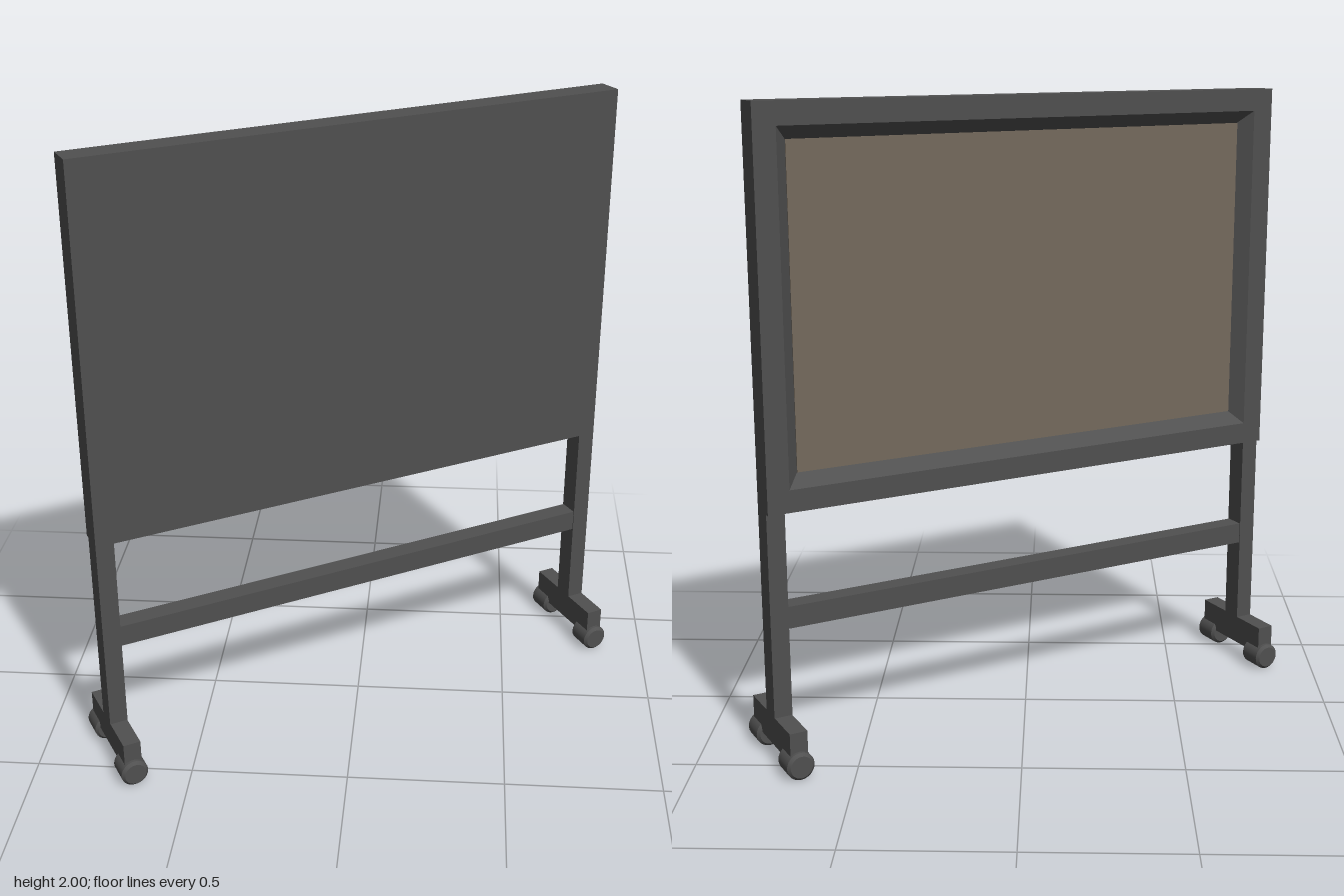
import * as THREE from 'three';

const frameMat = new THREE.MeshStandardMaterial({ color: 0x505050 });
const panelMat = new THREE.MeshStandardMaterial({ color: 0x74695c });

function add(parent, name, geometry, material, x, y, z) {
  const mesh = new THREE.Mesh(geometry, material);
  mesh.name = name;
  mesh.position.set(x, y, z);
  parent.add(mesh);
  return mesh;
}

// Box given by its lower and upper corners
function box(parent, name, [x0, y0, z0], [x1, y1, z1], material = frameMat) {
  return add(parent, name, new THREE.BoxGeometry(x1 - x0, y1 - y0, z1 - z0), material,
    (x0 + x1) / 2, (y0 + y1) / 2, (z0 + z1) / 2);
}

// Skin through rectangular loops given as [halfWidth, halfHeight, z]
function rectLoops(loops) {
  const corners = [[-1, -1], [1, -1], [1, 1], [-1, 1]];
  const pos = [];
  for (let i = 0; i < loops.length - 1; i++) {
    for (let j = 0; j < 4; j++) {
      const p = (l, k) => [corners[k % 4][0] * l[0], corners[k % 4][1] * l[1], l[2]];
      const [a, b] = [loops[i], loops[i + 1]];
      pos.push(...p(a, j), ...p(b, j), ...p(b, j + 1), ...p(a, j), ...p(b, j + 1), ...p(a, j + 1));
    }
  }
  const g = new THREE.BufferGeometry();
  g.setAttribute('position', new THREE.Float32BufferAttribute(pos, 3));
  g.computeVertexNormals();
  return g;
}

// Chunky caster drum with chamfered rims, axis along z
function casterGeometry() {
  const r = 0.044, h = 0.046, c = 0.009;
  const profile = [[0, -h], [r - c, -h], [r - c, -h], [r, -h + c], [r, -h + c],
    [r, h - c], [r, h - c], [r - c, h], [r - c, h], [0, h]];
  return new THREE.LatheGeometry(profile.map(([x, y]) => new THREE.Vector2(x, y)), 24)
    .rotateX(Math.PI / 2);
}

export function createModel() {
  const model = new THREE.Group();
  model.name = 'mobileBoard';
  const stand = new THREE.Group();
  stand.name = 'turnedStand';
  stand.rotation.y = THREE.MathUtils.degToRad(30.3);
  model.add(stand);

  const W = 0.898, post = 0.058;
  const front = 0.028, back = -0.058, recess = -0.018, postBack = -0.042;
  const low = 0.8, high = 2, midY = (low + high) / 2, H = (high - low) / 2;
  const rim = 0.07, bevel = 0.04;

  // Board: solid front slab, bevelled rim and inset panel behind
  box(stand, 'boardFront', [-W, low, recess], [W, high, front]);
  add(stand, 'boardRim', rectLoops([
    [W, H, recess], [W, H, back], [W - rim, H - rim, back],
    [W - rim - bevel, H - rim - bevel, recess],
  ]), frameMat, 0, midY, 0);
  const pw = W - rim - bevel, ph = H - rim - bevel;
  box(stand, 'backPanel', [-pw, midY - ph, recess - 0.003], [pw, midY + ph, recess + 0.005], panelMat);

  // Rail between the posts
  box(stand, 'crossRail', [-W + post, 0.43, postBack + 0.003], [W - post, 0.5, front - 0.003]);

  // Posts, feet and casters on both sides
  const caster = casterGeometry();
  const footZ = (front + postBack) / 2;
  for (const side of [-1, 1]) {
    const name = side > 0 ? 'left' : 'right';
    const x = side * (W - post / 2);
    box(stand, name + 'Post', [x - post / 2, 0.15, postBack], [x + post / 2, low, front]);
    box(stand, name + 'Foot', [x - 0.028, 0.055, footZ - 0.162], [x + 0.028, 0.15, footZ + 0.162]);
    for (const end of [-1, 1]) {
      add(stand, name + (end > 0 ? 'Front' : 'Back') + 'Caster', caster, frameMat,
        x, 0.044, footZ + end * 0.134);
    }
  }
  return model;
}
